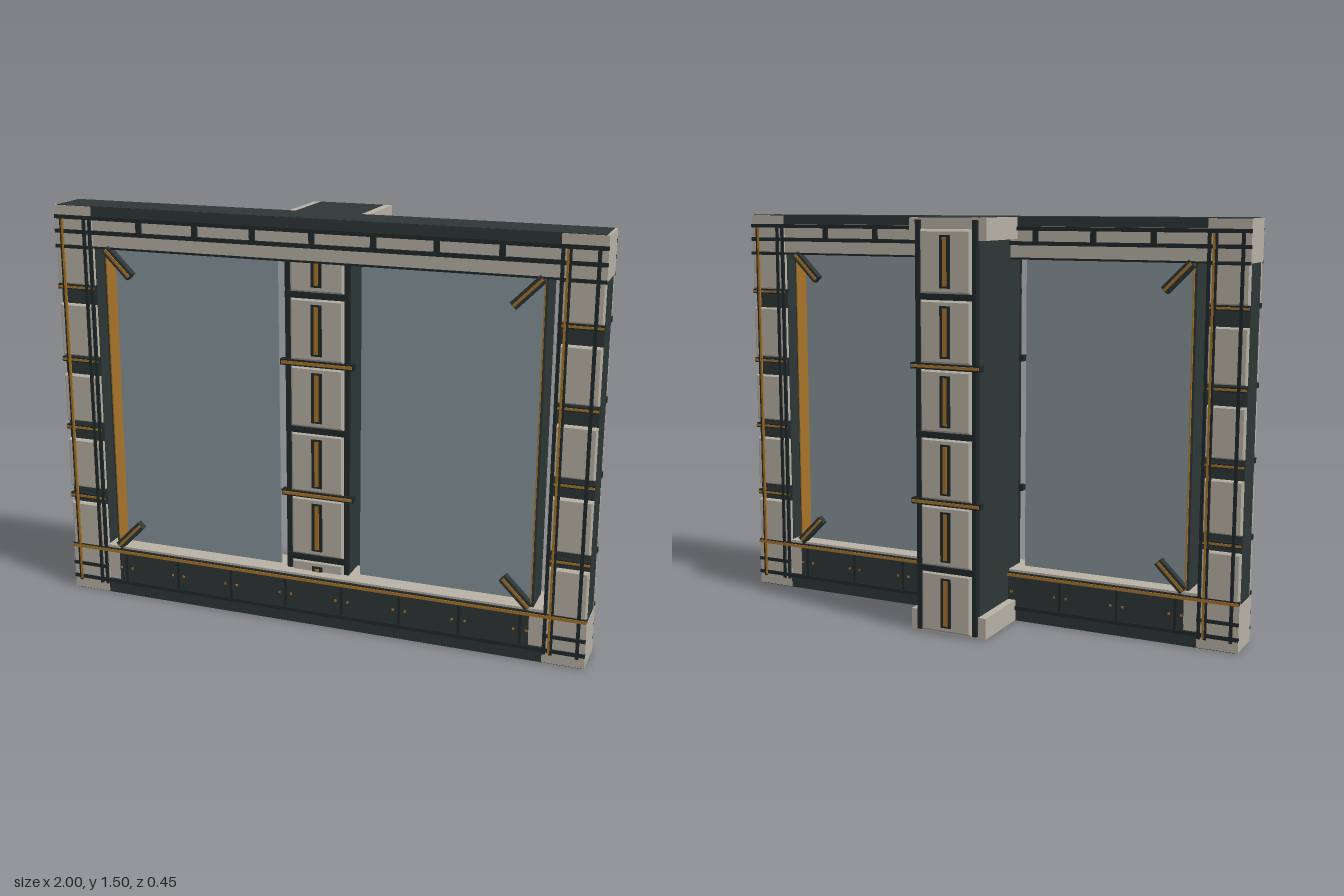
import * as THREE from 'three';

const mat = (name, color) => {
  const m = new THREE.MeshStandardMaterial({ color });
  m.name = name;
  return m;
};

export function createModel() {
  const dark = mat('dark steel', 0x2e3636);
  const rodMat = mat('blackened steel', 0x20282a);
  const light = mat('pale panel', 0xb8b2a6);
  const amber = mat('amber trim', 0xa8742a);
  const glass = mat('smoked glass', 0x87949a);

  const model = new THREE.Group();
  model.name = 'windowFrame';

  // Box from its min and max extents
  const box = (parent, name, m, x0, x1, y0, y1, z0, z1) => {
    const mesh = new THREE.Mesh(new THREE.BoxGeometry(x1 - x0, y1 - y0, z1 - z0), m);
    mesh.position.set((x0 + x1) / 2, (y0 + y1) / 2, (z0 + z1) / 2);
    mesh.name = name;
    parent.add(mesh);
    return mesh;
  };
  // Raised plate with bevelled edges, standing on z = z0
  const plate = (parent, name, m, x0, x1, y0, y1, z0, depth, bevel) => {
    const s = new THREE.Shape();
    s.moveTo(x0 + bevel, y0 + bevel).lineTo(x1 - bevel, y0 + bevel);
    s.lineTo(x1 - bevel, y1 - bevel).lineTo(x0 + bevel, y1 - bevel).closePath();
    const g = new THREE.ExtrudeGeometry(s, {
      depth: depth - bevel, bevelEnabled: true, bevelSize: bevel,
      bevelThickness: bevel, bevelSegments: 1,
    });
    const mesh = new THREE.Mesh(g, m);
    mesh.position.z = z0;
    mesh.name = name;
    parent.add(mesh);
  };

  // Core structure: posts, corner blocks, beams
  for (const s of [-1, 1]) {
    const x = (a, b) => (s > 0 ? [a, b] : [-b, -a]);
    box(model, 'sidePost', dark, ...x(0.85, 0.998), 0.01, 1.49, 0.075, 0.195);
    box(model, 'bottomCorner', light, ...x(0.85, 1), 0.002, 0.17, 0.056, 0.214);
    box(model, 'topCorner', light, ...x(0.85, 1), 1.35, 1.498, 0.056, 0.214);
    box(model, 'sillEnd', light, ...x(0.8, 0.85), 0.08, 0.197, 0.058, 0.212);
    box(model, 'jamb', dark, ...x(0.802, 0.812), 0.195, 1.35, 0.075, 0.2);
    box(model, 'jambTrim', amber, ...x(0.8, 0.804), 0.195, 1.35, 0.066, 0.204);
    box(model, 'glassPane', glass, ...x(0.155, 0.803), 0.195, 1.35, 0.131, 0.139);
  }
  box(model, 'bottomRail', dark, -0.85, 0.85, 0.001, 0.045, 0.058, 0.214);
  box(model, 'sill', light, -0.85, 0.85, 0.045, 0.195, 0.062, 0.208);
  box(model, 'topBeam', light, -0.85, 0.85, 1.35, 1.465, 0.062, 0.208);
  box(model, 'topRail', dark, -0.85, 0.85, 1.465, 1.499, 0.056, 0.214);
  box(model, 'topSkin', dark, -0.99, 0.99, 1.495, 1.5, 0.058, 0.212);
  box(model, 'bottomSkin', dark, -0.99, 0.99, 0, 0.005, 0.058, 0.212);

  // Fittings of one frame face, facing +z, measured from the frame's mid plane
  const frameFace = () => {
    const f = new THREE.Group();
    f.name = 'frameFittings';
    const postBlocks = [[0.165, 0.355], [0.42, 0.61], [0.685, 0.865], [0.94, 1.135], [1.21, 1.355]];
    for (const s of [-1, 1]) {
      const x = (a, b) => (s > 0 ? [a, b] : [-b, -a]);
      for (const [a, b] of postBlocks) {
        plate(f, 'postPanel', light, ...x(0.852, 0.998), a, b, 0.06, 0.02, 0.005);
      }
      // Clamps across the posts
      for (const y of [0.385, 0.66, 0.925, 1.2]) {
        box(f, 'postClamp', rodMat, ...x(0.85, 1), y - 0.009, y + 0.009, 0.06, 0.081);
        box(f, 'clampTrim', amber, ...x(0.85, 1), y - 0.004, y + 0.004, 0.079, 0.084);
      }
      for (const y of [0.105, 1.35]) {
        box(f, 'cornerRod', rodMat, ...x(0.85, 1), y - 0.006, y + 0.006, 0.076, 0.086);
      }
      // Upright rods
      for (const px of [0.857, 0.88, 0.973]) {
        box(f, 'postRod', rodMat, ...x(px - 0.006, px + 0.006), 0.035, 1.46, 0.076, 0.085);
      }
      // Corner braces
      for (const [y, t] of [[1.3, 1], [0.248, -1]]) {
        const brace = new THREE.Group();
        brace.name = 'cornerBrace';
        box(brace, 'braceBar', dark, -0.068, 0.068, -0.016, 0.016, -0.015, 0.012);
        box(brace, 'braceTrim', amber, -0.066, 0.066, -0.005, 0.005, 0.011, 0.016);
        brace.position.set(s * 0.75, y, 0.072);
        brace.rotation.z = s * t * Math.PI / 4;
        f.add(brace);
      }
    }
    for (const px of [-0.968, 0.874]) {
      box(f, 'postTrim', amber, px - 0.004, px + 0.004, 0.04, 1.45, 0.08, 0.087);
    }
    // Long horizontal rods
    for (const y of [0.05, 0.18, 1.405, 1.457]) {
      box(f, 'longRod', rodMat, -1, 1, y - 0.007, y + 0.007, 0.07, 0.084);
    }
    box(f, 'lintelEdge', rodMat, -0.85, 0.85, 1.347, 1.354, 0.07, 0.077);
    box(f, 'sillTrim', amber, -1, 1, 0.172, 0.183, 0.08, 0.087);
    // Ribs of the top beam
    for (let i = -3; i <= 3; i++) {
      box(f, 'topRib', rodMat, i * 0.22 - 0.01, i * 0.22 + 0.01, 1.4, 1.45, 0.07, 0.082);
    }
    // Sill panels, ribs and bolts
    box(f, 'sillPanel', dark, -0.8, 0.8, 0.055, 0.168, 0.07, 0.078);
    for (let i = 0; i < 8; i++) {
      const px = -0.77 + i * 0.22;
      box(f, 'sillRib', rodMat, px - 0.005, px + 0.005, 0.055, 0.168, 0.075, 0.081);
      for (const d of [-0.023, 0.023]) {
        box(f, 'sillBolt', amber, px + d - 0.004, px + d + 0.004, 0.107, 0.115, 0.075, 0.081);
      }
    }
    return f;
  };
  for (const turn of [0, Math.PI]) {
    const f = frameFace();
    f.position.z = 0.135;
    f.rotation.y = turn;
    model.add(f);
  }

  // Central column with its end caps
  box(model, 'columnCore', dark, -0.12, 0.12, 0, 1.5, -0.19, 0.15);
  for (const [a, b] of [[0.002, 0.08], [1.42, 1.498]]) {
    box(model, 'columnCap', light, -0.15, 0.15, a, b, -0.2, 0.06);
  }

  // Panelled face of the column, facing +z
  const columnFace = () => {
    const c = new THREE.Group();
    c.name = 'columnFace';
    for (const s of [-1, 1]) {
      box(c, 'columnRail', rodMat, s * 0.111 - 0.009, s * 0.111 + 0.009, 0.01, 1.49, 0, 0.016);
    }
    for (let i = 0; i < 6; i++) {
      const y = 0.122 + i * 0.245;
      plate(c, 'columnPanel', light, -0.1, 0.1, y - 0.112, y + 0.112, 0, 0.022, 0.008);
      box(c, 'slot', rodMat, -0.02, 0.02, y - 0.092, y + 0.092, 0.02, 0.026);
      box(c, 'slotTrim', amber, -0.008, 0.008, y - 0.085, y + 0.085, 0.023, 0.028);
    }
    for (let i = 1; i < 6; i++) {
      const y = i * 0.245, wide = i % 2 === 0;
      const w = wide ? 0.138 : 0.118;
      box(c, 'crossBar', rodMat, -w, w, y - 0.011, y + 0.011, -0.004, 0.022);
      if (wide) box(c, 'crossBarTrim', amber, -w + 0.005, w - 0.005, y - 0.005, y + 0.005, 0.02, 0.027);
    }
    return c;
  };
  const front = columnFace();
  front.position.z = 0.148;
  const back = columnFace();
  back.position.z = -0.197;
  back.rotation.y = Math.PI;
  model.add(front, back);

  return model;
}
